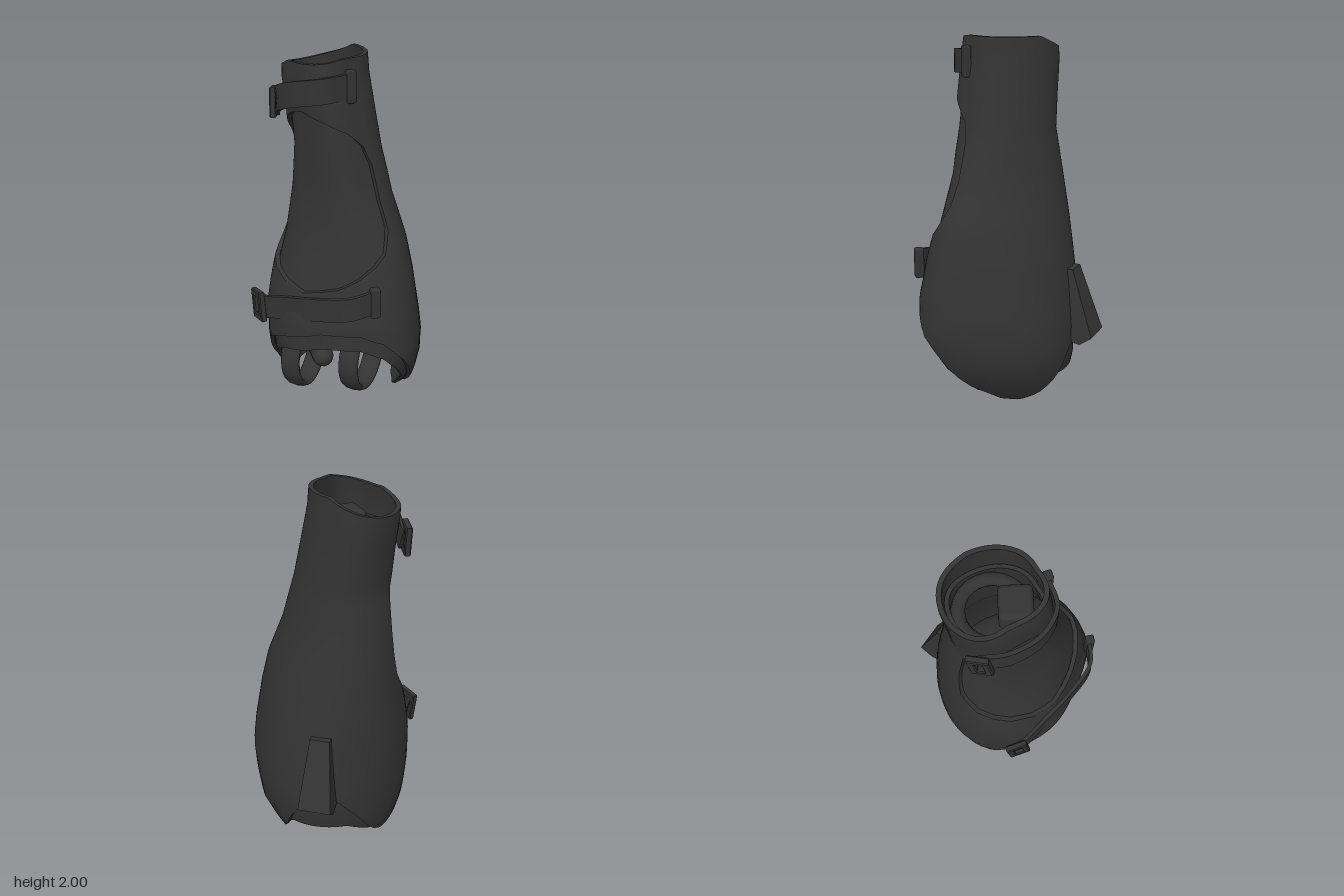
import * as THREE from 'three';
import { toCreasedNormals } from 'three/addons/utils/BufferGeometryUtils.js';
import { RoundedBoxGeometry } from 'three/addons/geometries/RoundedBoxGeometry.js';

const charcoal = new THREE.MeshStandardMaterial({ color: 0x333333, side: THREE.DoubleSide });
charcoal.name = 'charcoal';

// Linear lookup of a row in a table keyed by its first column
function lookup(table, k) {
  if (k <= table[0][0]) return table[0].slice(1);
  for (let i = 1; i < table.length; i++) {
    const a = table[i - 1], b = table[i];
    if (k <= b[0]) {
      const f = (k - a[0]) / (b[0] - a[0]);
      return a.slice(1).map((v, n) => v + (b[n + 1] - v) * f);
    }
  }
  return table[table.length - 1].slice(1);
}

// Sleeve sections: height, then min x, max x, min z, max z
const SECTIONS = [
  [0, -0.3, 0.34, -0.42, 0.25], [0.1, -0.38, 0.39, -0.45, 0.34], [0.2, -0.42, 0.43, -0.47, 0.42],
  [0.4, -0.45, 0.44, -0.475, 0.48], [0.6, -0.44, 0.41, -0.465, 0.465], [0.8, -0.39, 0.37, -0.45, 0.42],
  [1, -0.325, 0.32, -0.435, 0.36], [1.25, -0.275, 0.25, -0.405, 0.25], [1.5, -0.265, 0.205, -0.365, 0.18],
  [1.7, -0.265, 0.185, -0.38, 0.14], [1.9, -0.275, 0.17, -0.4, 0.1], [2, -0.255, 0.16, -0.38, 0.09],
];
// Corner fullness: height, then front -x, front +x, back +x, back -x
const FULLNESS = [
  [0, -0.08, -0.08, 0, 0], [0.7, -0.1, -0.08, 0.03, 0.04], [1, -0.02, -0.04, 0.02, 0.02],
  [1.3, 0.1, 0, 0.03, 0], [1.7, 0.17, 0, 0.05, 0], [2, 0.2, 0, 0.05, 0],
];
// Lower hems: angle in degrees from the front towards +x, then height
const HEM = [
  [0, 0.4], [25, 0.12], [45, 0.03], [62, 0.02], [78, 0.06], [90, 0.14], [110, 0.32], [135, 0.38], [152, 0.25],
  [168, 0.1], [182, 0.05], [205, 0.06], [225, 0.16], [250, 0.4], [270, 0.47], [300, 0.55], [330, 0.56],
  [345, 0.52], [360, 0.4],
];
const LINING_HEM = [
  [0, 0.31], [25, 0.07], [50, 0.05], [75, 0.08], [95, 0.16], [145, 0.16], [168, 0.08], [205, 0.06],
  [225, 0.1], [250, 0.3], [270, 0.38], [300, 0.45], [330, 0.46], [345, 0.42], [360, 0.31],
];
// Side opening: height, then rear edge and front edge in degrees
const OPENING = [
  [0.76, -75, -75], [0.81, -112, -48], [0.87, -140, -32], [0.94, -150, -18], [1, -155, -8], [1.12, -158, 3],
  [1.45, -158, 3], [1.55, -147, -5], [1.63, -125, -25], [1.69, -98, -52], [1.72, -75, -75],
];

// Point on the sleeve wall
function wall(deg, y, inset) {
  const [x0, x1, z0, z1] = lookup(SECTIONS, y);
  const [fl, fr, br, bl] = lookup(FULLNESS, y);
  const a = THREE.MathUtils.degToRad(deg), s = Math.sin(a), c = Math.cos(a);
  const cx = (x0 + x1) / 2, cz = z0 + (z1 - z0) * 0.44;
  const full = c > 0 ? (s > 0 ? fr : fl) : (s > 0 ? br : bl);
  const k = 1 + full * Math.sin(2 * a) ** 2;
  return new THREE.Vector3(
    cx + s * (k * (x1 - x0) / 2 - inset), y, cz + c * (k * (c > 0 ? z1 - cz : cz - z0) - inset));
}

// Skin a list of closed loops and cap both ends
function skin(rows) {
  const m = rows[0].length, idx = [], last = (rows.length - 1) * m;
  for (let j = 0; j < rows.length - 1; j++) {
    for (let i = 0; i < m; i++) {
      const a = j * m + i, b = j * m + (i + 1) % m;
      idx.push(a, b, b + m, a, b + m, a + m);
    }
  }
  for (let i = 0; i < m / 2 - 1; i++) {
    const a = i, b = i + 1, c = m - 2 - i, d = m - 1 - i;
    idx.push(a, c, b, a, d, c, last + a, last + b, last + c, last + a, last + c, last + d);
  }
  const geo = new THREE.BufferGeometry().setFromPoints(rows.flat());
  geo.setIndex(idx);
  return toCreasedNormals(geo, 0.8);
}

// Thick wall wrapped around the arm, its rim lower at the back and the inner side
function shell(heights, inset, thick, hem, open) {
  const n = 72;
  return skin(heights.map((h) => {
    const [back, front] = open ? lookup(OPENING, h) : [-75, -75];
    const outer = [], inner = [];
    for (let i = 0; i <= n; i++) {
      const deg = THREE.MathUtils.clamp(-75 + 360 * (i / n), front, 360 + back);
      const a = THREE.MathUtils.degToRad(deg);
      let y = h;
      if (h < 0.76) y = THREE.MathUtils.lerp(lookup(hem, (deg + 360) % 360)[0], 0.76, h / 0.76);
      if (h > 1.8) y -= (h - 1.8) * (0.45 * Math.max(0, -Math.cos(a)) + 0.3 * Math.max(0, -Math.sin(a) - 0.4));
      outer.push(wall(deg, y, inset));
      inner.unshift(wall(deg, y, inset + thick));
    }
    return outer.concat(inner);
  }));
}

// Flat band following a path
function strap(points, height, thick) {
  const curve = new THREE.CatmullRomCurve3(points.map((p) => new THREE.Vector3(...p)));
  const up = new THREE.Vector3(0, 1, 0), rows = [];
  for (let i = 0; i <= 28; i++) {
    const p = curve.getPointAt(i / 28), t = curve.getTangentAt(i / 28);
    const side = new THREE.Vector3().crossVectors(up, t).normalize();
    const v = new THREE.Vector3().crossVectors(t, side);
    rows.push([[-1, -1], [1, -1], [1, 1], [-1, 1]].map(([a, b]) =>
      p.clone().addScaledVector(side, a * thick / 2).addScaledVector(v, b * height / 2)));
  }
  return skin(rows);
}

// Rectangular buckle frame with a hole
function buckleFrame(w, h) {
  const rect = (S, x, y) => new S([[-x, -y], [x, -y], [x, y], [-x, y]].map((p) => new THREE.Vector2(...p)));
  const s = rect(THREE.Shape, w / 2, h / 2);
  s.holes.push(rect(THREE.Path, w / 2 - 0.025, h / 2 - 0.025));
  return new THREE.ExtrudeGeometry(s, { depth: 0.025, bevelSize: 0.006, bevelThickness: 0.006, bevelSegments: 1 });
}

export function createModel() {
  const model = new THREE.Group();
  const add = (name, geo, pos = [0, 0, 0], rot = [0, 0, 0], scale = [1, 1, 1]) => {
    const mesh = new THREE.Mesh(geo, charcoal);
    mesh.name = name;
    mesh.position.set(...pos);
    mesh.rotation.set(...rot);
    mesh.scale.set(...scale);
    model.add(mesh);
  };

  // Outer sleeve, and the lining that fills the opening and peeks out below the hem
  const low = [0, 0.08, 0.18, 0.3, 0.42, 0.54, 0.66, 0.76];
  const high = [0.785, 0.81, 0.84, 0.87, 0.94, 1, 1.06, 1.12, 1.25, 1.35, 1.45, 1.5, 1.55, 1.59, 1.63, 1.66, 1.69,
    1.705, 1.72, 1.8, 1.9, 2];
  add('sleeve', shell(low.concat(high), 0, 0.025, HEM, true));
  add('lining', shell(low.concat([0.87, 1, 1.12, 1.25, 1.38, 1.5, 1.6, 1.7, 1.8]), 0.028, 0.022, LINING_HEM, false));

  // Straps, their end tabs and buckles
  add('wristStrap', strap([[-0.1, 1.865, 0.12], [-0.25, 1.855, 0.09], [-0.33, 1.83, -0.03],
    [-0.325, 1.78, -0.19], [-0.255, 1.71, -0.32]], 0.13, 0.022));
  add('wristStrapTab', new RoundedBoxGeometry(0.05, 0.17, 0.045, 1, 0.01), [-0.1, 1.865, 0.125], [0, -0.2, 0]);
  add('wristBuckle', buckleFrame(0.1, 0.15), [-0.262, 1.72, -0.32], [0, -2.25, 0.15]);
  add('handStrap', strap([[-0.16, 0.775, 0.405], [-0.28, 0.745, 0.345], [-0.36, 0.7, 0.18], [-0.42, 0.65, -0.02],
    [-0.465, 0.6, -0.2], [-0.455, 0.58, -0.26]], 0.13, 0.022));
  add('handStrapTab', new RoundedBoxGeometry(0.05, 0.17, 0.05, 1, 0.01), [-0.16, 0.775, 0.41], [0, -0.3, 0]);
  add('handBuckle', buckleFrame(0.11, 0.16), [-0.465, 0.6, -0.23], [0, -1.75, 0.15]);

  // Wedge pouch on the outer side, narrower at the top
  const outline = [[0.36, 0.75], [0.45, 0.75], [0.58, 0.38], [0.51, 0.33], [0.36, 0.36]];
  const pouch = new THREE.ExtrudeGeometry(
    new THREE.Shape(outline.map((p) => new THREE.Vector2(...p))), { depth: 0.18, bevelEnabled: false });
  const pos = pouch.attributes.position;
  for (let i = 0; i < pos.count; i++) {
    const k = pos.getY(i) > 0.7 ? 0.6 : 1;
    pos.setZ(i, -0.09 + (pos.getZ(i) - 0.09) * k);
  }
  pouch.computeVertexNormals();
  add('pouch', pouch, [0, 0, 0], [0, 0.49, 0]);

  // Finger loops and the bar that joins them
  const loop = new THREE.TorusGeometry(0.18, 0.02, 10, 36);
  add('rearFingerLoop', loop, [-0.2, 0.225, -0.2], [0, 0.5, 0], [1, 1.12, 3]);
  add('frontFingerLoop', loop, [0, 0.27, 0.1], [0, 0.5, 0], [1.1, 1.1, 3]);
  add('gripBar', new THREE.CapsuleGeometry(0.06, 0.3, 6, 12), [-0.22, 0.35, -0.04], [Math.PI / 2, 0, 0.4]);

  // Padding inside the sleeve
  add('innerCuff', new THREE.TorusGeometry(0.165, 0.035, 10, 24), [-0.06, 1.74, -0.15], [Math.PI / 2, 0, 0]);
  add('thumbPad', new RoundedBoxGeometry(0.18, 0.16, 0.17, 3, 0.03), [-0.11, 1.78, -0.05], [0, -0.45, 0]);
  add('palmPad', new THREE.SphereGeometry(1, 24, 16), [-0.02, 0.6, -0.04], [0, 0, 0], [0.35, 0.12, 0.38]);
  return model;
}
